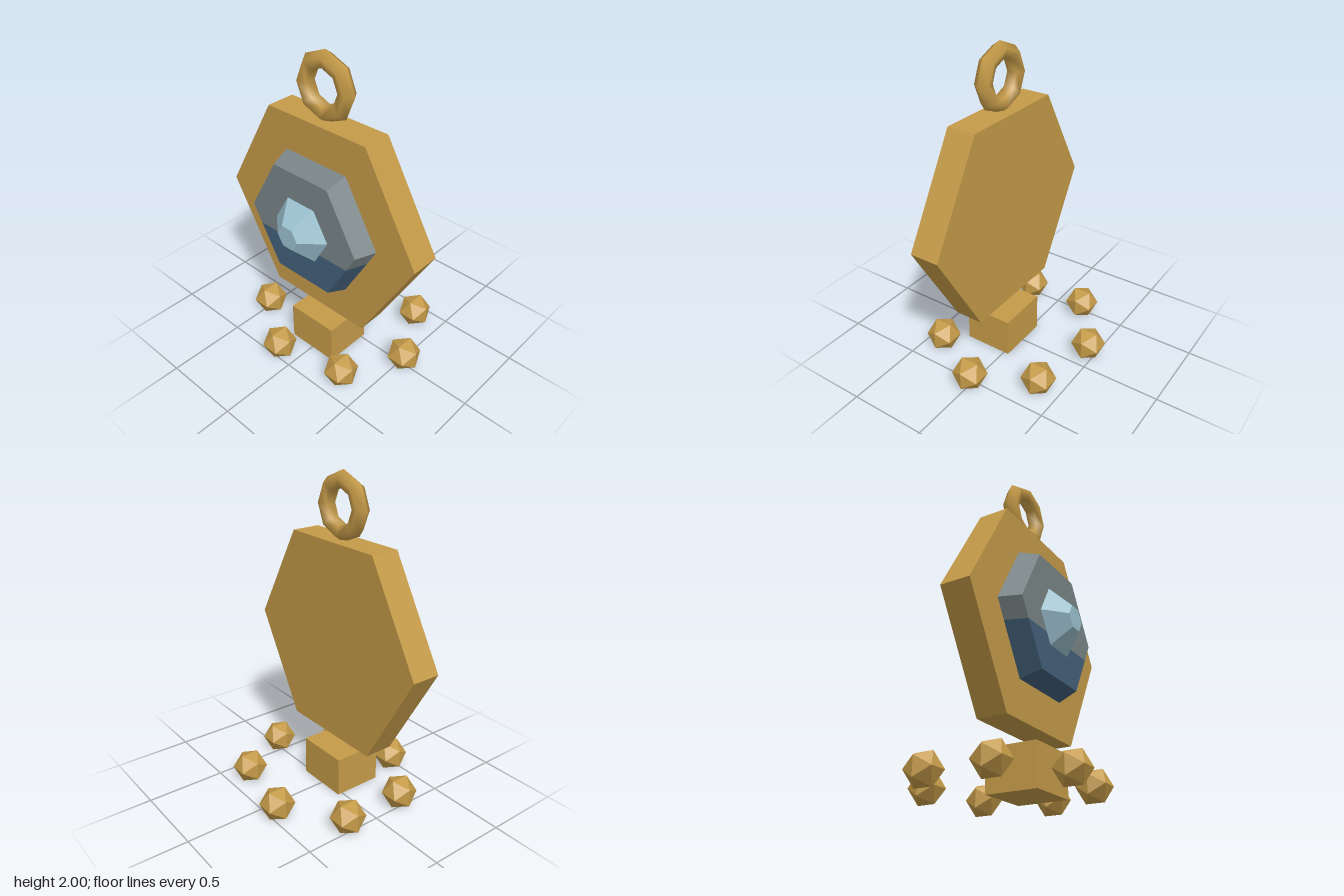
import * as THREE from 'three';

const gold = new THREE.MeshStandardMaterial({ name: 'gold', color: 0xc49a48 });
const greyGlass = new THREE.MeshStandardMaterial({ name: 'greyGlass', color: 0x788486 });
const blueGlass = new THREE.MeshStandardMaterial({ name: 'blueGlass', color: 0x43607a });
const paleGem = new THREE.MeshStandardMaterial({ name: 'paleGem', color: 0x9cc2d0 });

const CENTRE_Y = 0.977; // centre of the hexagonal plate
const MID_Z = 0.126;    // middle plane of plate, ring and block

// Gives every face its own normal so edges stay crisp
function faceted(geometry) {
  const g = geometry.index ? geometry.toNonIndexed() : geometry;
  g.computeVertexNormals();
  return g;
}

// Hexagonal prism or frustum along z with corners on the x axis
function hexFrustum(backRadius, frontRadius, z0, z1) {
  const g = new THREE.CylinderGeometry(frontRadius, backRadius, z1 - z0, 6, 1, false, Math.PI / 2);
  g.rotateX(Math.PI / 2).translate(0, CENTRE_Y, (z0 + z1) / 2);
  return faceted(g);
}

// Solid between two matching counter-clockwise outlines at z0 and z1
function loft(back, front, z0, z1) {
  const n = back.length;
  const positions = [], index = [];
  back.forEach(([x, y]) => positions.push(x, y + CENTRE_Y, z0));
  front.forEach(([x, y]) => positions.push(x, y + CENTRE_Y, z1));
  for (let i = 0; i < n; i++) {
    const j = (i + 1) % n;
    index.push(i, j, n + j, i, n + j, n + i);
  }
  for (let i = 1; i < n - 1; i++) {
    index.push(n, n + i, n + i + 1, 0, i + 1, i);
  }
  const g = new THREE.BufferGeometry();
  g.setAttribute('position', new THREE.Float32BufferAttribute(positions, 3));
  g.setIndex(index);
  return faceted(g);
}

// Hexagon outline cut by a level line: the part above or below it
const LEVEL = -0.112;
function upperOutline(r) {
  const h = r * Math.sqrt(3) / 2, cut = r + LEVEL / Math.sqrt(3);
  return [[r, 0], [r / 2, h], [-r / 2, h], [-r, 0], [-cut, LEVEL], [cut, LEVEL]];
}
function lowerOutline(r) {
  const h = r * Math.sqrt(3) / 2, cut = r + LEVEL / Math.sqrt(3);
  return [[cut, LEVEL], [-cut, LEVEL], [-r / 2, -h], [r / 2, -h]];
}

export function createModel() {
  const model = new THREE.Group();
  model.name = 'hexagonalPendant';

  function add(name, geometry, material, x = 0, y = 0, z = 0) {
    const mesh = new THREE.Mesh(geometry, material);
    mesh.name = name;
    mesh.position.set(x, y, z);
    model.add(mesh);
    return mesh;
  }

  // Main plate
  add('plate', hexFrustum(0.72, 0.72, 0.034, 0.218), gold);

  // Bevelled glass, filled to a level line
  add('glassUpper', loft(upperOutline(0.455), upperOutline(0.408), 0.218, 0.343), greyGlass);
  add('glassFilled', loft(lowerOutline(0.455), lowerOutline(0.408), 0.218, 0.343), blueGlass);

  // Cut gem in the middle
  add('gem', hexFrustum(0.204, 0.078, 0.343, 0.455), paleGem);

  // Hanging ring, smooth with few sides
  add('ring', new THREE.TorusGeometry(0.155, 0.053, 5, 8), gold, 0, 1.792, MID_Z);

  // Block below the plate
  add('block', new THREE.BoxGeometry(0.343, 0.252, 0.315), gold, 0, 0.128, MID_Z);

  // Ring of seven loose beads
  const beadGeometry = new THREE.IcosahedronGeometry(0.109, 0).rotateY(Math.PI / 2);
  const beads = new THREE.Group();
  beads.name = 'beads';
  for (let i = 0; i < 7; i++) {
    const a = i * Math.PI * 2 / 7;
    const bead = new THREE.Mesh(beadGeometry, gold);
    bead.name = 'bead';
    bead.position.set(Math.cos(a) * 0.53, 0.095, Math.sin(a) * 0.47);
    beads.add(bead);
  }
  model.add(beads);

  return model;
}
